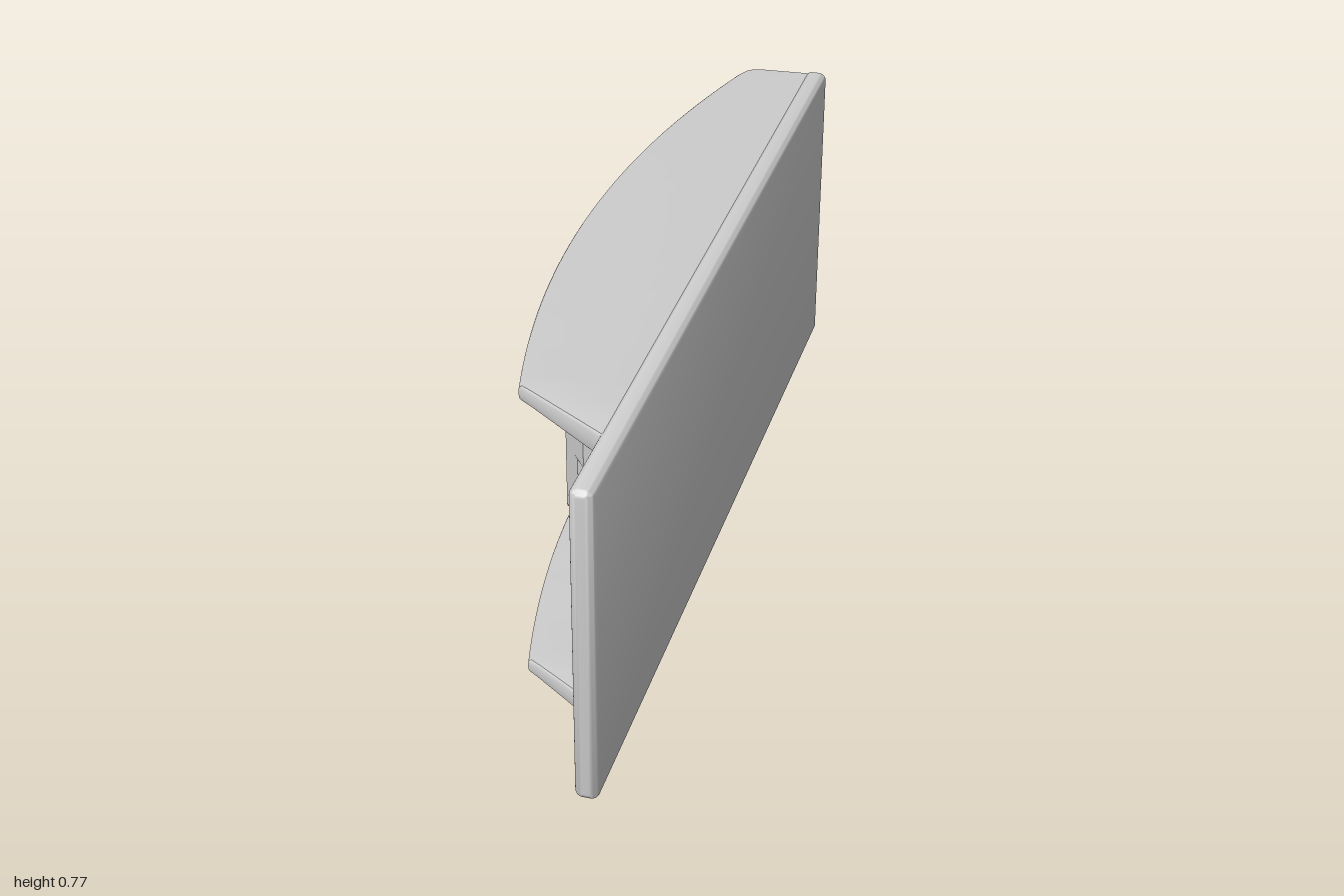
import * as THREE from 'three';
import { toCreasedNormals } from 'three/addons/utils/BufferGeometryUtils.js';
import { RoundedBoxGeometry } from 'three/addons/geometries/RoundedBoxGeometry.js';

const MID_Y = 0.385;

export function createModel() {
  const root = new THREE.Group();
  const grey = new THREE.MeshStandardMaterial({ color: 0xcccccc });
  const metal = new THREE.MeshStandardMaterial({ color: 0xcfc5bb });

  const add = (name, geometry, material = grey, parent = root) => {
    const mesh = new THREE.Mesh(geometry, material);
    mesh.name = name;
    parent.add(mesh);
    return mesh;
  };

  // Extrude an outline of [x, z] points upward from y0 to y1
  const extrudeUp = (points, y0, y1) => {
    const shape = new THREE.Shape(points.map(([x, z]) => new THREE.Vector2(x, -z)));
    return new THREE.ExtrudeGeometry(shape, { depth: y1 - y0, bevelEnabled: false })
      .rotateX(-Math.PI / 2).translate(0, y0, 0);
  };

  // Face plate: rounded edges, but cut flat at the back end
  const plate = new RoundedBoxGeometry(0.053, 0.77, 2.04, 4, 0.018);
  plate.translate(0.1565, MID_Y, -0.02);
  const pos = plate.attributes.position;
  for (let i = 0; i < pos.count; i++) pos.setZ(i, Math.max(pos.getZ(i), -1));
  add('facePlate', toCreasedNormals(plate, 0.6));

  // Side fins: tapered cross-sections with a rounded rim, lofted along z
  const stations = [[-1, 0], [-0.996, -0.02], [-0.985, -0.032], [-0.965, -0.042]];
  for (let i = 0; i <= 36; i++) {
    const z = -0.945 + (0.65 + 0.945) * i / 36;
    stations.push([z, -0.183 + 0.18 * (z + 0.08) ** 2]);
  }
  stations.push([0.665, -0.062], [0.775, 0.107], [0.79, 0.13]);

  const finSection = (tip) => {
    const root = 0.15;
    const top = (x) => 0.754 + (x + 0.17) * 0.037;
    const bottom = (x) => 0.725 - (x + 0.17) * 0.057;
    const r = 0.013;
    const x0 = tip + r;
    const yTop = top(x0), yBottom = bottom(x0);
    const points = [[root, top(root)]];
    for (let k = 0; k <= 8; k++) {
      const a = Math.PI / 2 + Math.PI * k / 8;
      // keep the rim radius constant and leave a flat between both roundings
      const flat = Math.max(0, (yTop - yBottom) / 2 - r);
      const side = Math.abs(Math.sin(a)) < 1e-6 ? 0 : Math.sign(Math.sin(a));
      points.push([x0 + r * Math.cos(a), (yTop + yBottom) / 2 + side * flat + r * Math.sin(a)]);
    }
    points.push([root, bottom(root)]);
    return points;
  };

  const finGeometry = (flip) => {
    const vertices = [], index = [];
    const sections = stations.map(([, tip]) => finSection(tip));
    const n = sections[0].length;
    sections.forEach((section, s) => section.forEach(([x, y]) =>
      vertices.push(x, flip ? 2 * MID_Y - y : y, stations[s][0])));
    const tri = (a, b, c) => (flip ? index.push(a, c, b) : index.push(a, b, c));
    for (let s = 0; s < sections.length - 1; s++) {
      for (let i = 0; i < n; i++) {
        const a = s * n + i, b = s * n + (i + 1) % n;
        tri(a, b, b + n);
        tri(a, b + n, a + n);
      }
    }
    const last = (sections.length - 1) * n;
    for (let i = 1; i < n - 1; i++) {
      tri(0, i + 1, i);
      tri(last, last + i, last + i + 1);
    }
    const g = new THREE.BufferGeometry();
    g.setAttribute('position', new THREE.Float32BufferAttribute(vertices, 3));
    g.setIndex(index);
    return toCreasedNormals(g, 0.5);
  };
  add('upperFin', finGeometry(false));
  add('lowerFin', finGeometry(true));

  // Mounting pad with rounded corners, standing off the plate
  const pad = new THREE.Shape();
  const z0 = -0.61, z1 = 0.14, y0 = 0.125, y1 = 0.645, r = 0.065;
  pad.moveTo(z0 + r, y0);
  pad.lineTo(z1 - r, y0).absarc(z1 - r, y0 + r, r, -Math.PI / 2, 0);
  pad.lineTo(z1, y1 - r).absarc(z1 - r, y1 - r, r, 0, Math.PI / 2);
  pad.lineTo(z0 + r, y1).absarc(z0 + r, y1 - r, r, Math.PI / 2, Math.PI);
  pad.lineTo(z0, y0 + r).absarc(z0 + r, y0 + r, r, Math.PI, Math.PI * 1.5);
  const padGeometry = new THREE.ExtrudeGeometry(pad, { depth: 0.155, bevelEnabled: false, curveSegments: 10 });
  add('mountingPad', toCreasedNormals(padGeometry.rotateY(-Math.PI / 2).translate(0.135, 0, 0), 0.5));

  // Clamp block: slots, screw recess and chamfered clip ends; the clips are notched halfway up
  const clamp = new THREE.Group();
  clamp.name = 'clampBlock';
  root.add(clamp);
  const slot = [];
  for (let k = 0; k <= 8; k++) {
    const a = Math.PI * k / 8;
    slot.push([-0.02 + 0.03 * Math.sin(a), -0.3 - 0.03 * Math.cos(a)]);
  }
  const clampOutline = (cut) => [
    [0.135, -0.66], [0.03, -0.66], [0.03, -0.63], [0, -0.63], [0, -0.69 + cut],
    [-0.03 - cut * 0.78, -0.69 + cut], [-0.1, -0.6], [-0.1, -0.33],
    ...slot,
    [-0.1, -0.27], [-0.1, -0.13], [-0.03, -0.13], [-0.03, 0.06], [-0.1, 0.06], [-0.1, 0.32],
    [-0.03 - cut * 0.78, 0.41 - cut], [0, 0.41 - cut], [0.03, 0.395 - cut * 0.6], [0.04, 0.37], [0.135, 0.37],
  ];
  [['lowerClamp', 0.243, 0.36, 0], ['middleClamp', 0.36, 0.41, 0.03], ['upperClamp', 0.41, 0.53, 0]]
    .forEach(([name, a, b, cut]) => add(name, extrudeUp(clampOutline(cut), a, b), grey, clamp));

  // Thin lips on top and bottom of the clamp jaws
  [[-0.6, -0.335], [-0.265, -0.13], [0.06, 0.32]].forEach(([a, b]) => {
    [0.2395, 0.5325].forEach((y) => {
      const lip = add('clampLip', new THREE.BoxGeometry(0.08, 0.007, b - a), grey, clamp);
      lip.position.set(-0.06, y, (a + b) / 2);
    });
  });

  // Screw with a cross recess, facing away from the plate
  const screw = new THREE.Group();
  screw.name = 'screw';
  screw.position.set(-0.06, MID_Y + 0.002, -0.04);
  root.add(screw);
  const head = new THREE.Shape().absarc(0, 0, 0.088, 0, Math.PI * 2);
  const w = 0.011, l = 0.052;
  head.holes.push(new THREE.Path([
    [w, w], [w, l], [-w, l], [-w, w], [-l, w], [-l, -w],
    [-w, -w], [-w, -l], [w, -l], [w, -w], [l, -w], [l, w],
  ].map(([x, y]) => new THREE.Vector2(x, y))));
  const headGeometry = new THREE.ExtrudeGeometry(head, { depth: 0.055, bevelEnabled: false, curveSegments: 24 });
  add('screwHead', toCreasedNormals(headGeometry.rotateY(-Math.PI / 2), 0.5), metal, screw);
  const shank = add('screwShank', new THREE.CylinderGeometry(0.086, 0.086, 0.06, 40), metal, screw);
  shank.rotation.z = Math.PI / 2;
  shank.position.x = 0.005;

  return root;
}
